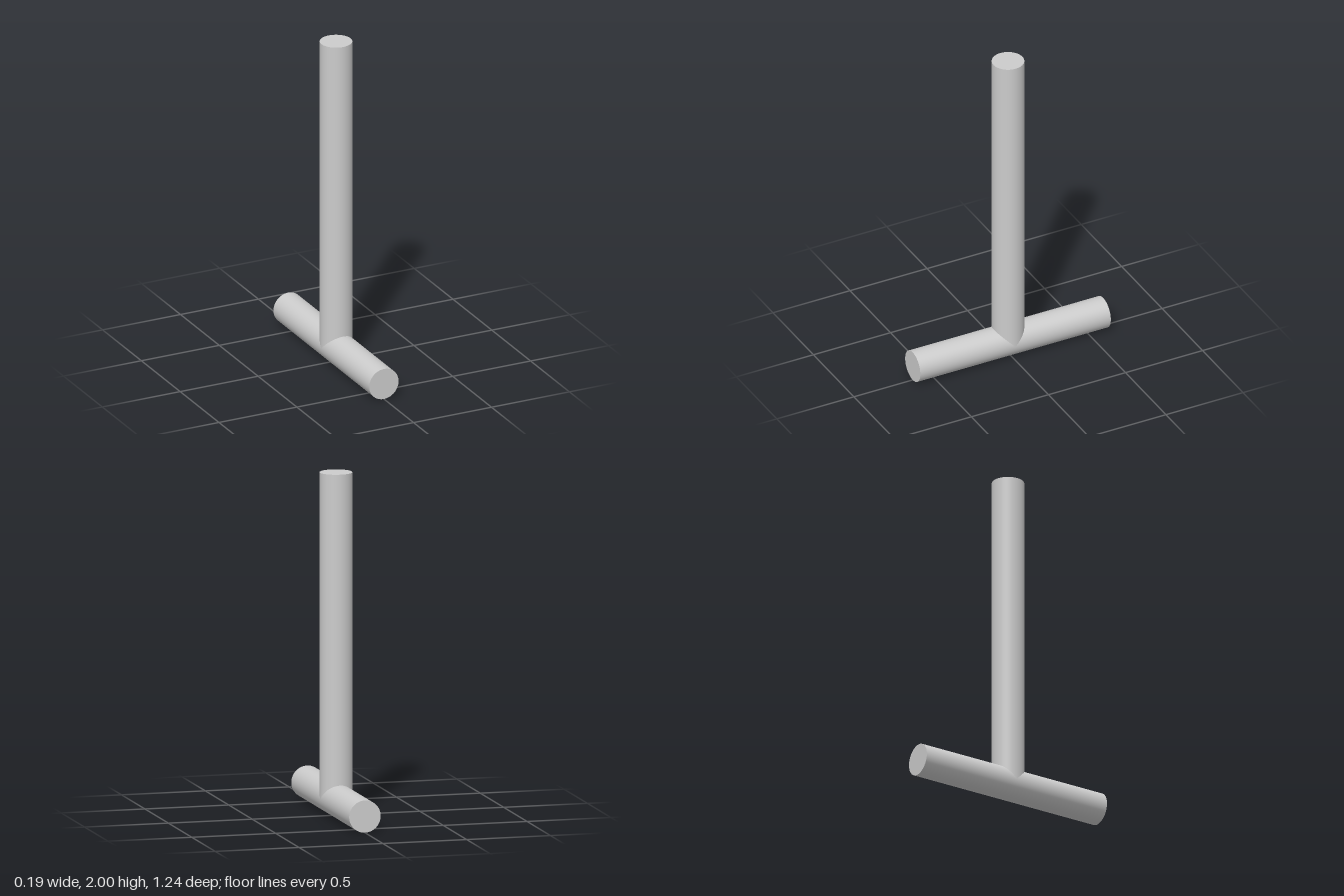
import * as THREE from 'three';

const RADIUS = 0.094;
const BAR_LENGTH = 1.236;
const HEIGHT = 2;

export function createModel() {
  const group = new THREE.Group();
  group.name = 'teeJoint';
  const material = new THREE.MeshStandardMaterial({ color: 0xcccccc });

  const addRod = (name, length) => {
    const rod = new THREE.Mesh(new THREE.CylinderGeometry(RADIUS, RADIUS, length, 64), material);
    rod.name = name;
    group.add(rod);
    return rod;
  };

  // Horizontal bar lying front to back on the ground
  const bar = addRod('baseBar', BAR_LENGTH);
  bar.rotation.x = Math.PI / 2;
  bar.position.y = RADIUS;

  // Upright rod, rising from the axis of the bar
  const stem = addRod('uprightRod', HEIGHT - RADIUS);
  stem.position.y = (HEIGHT + RADIUS) / 2;

  return group;
}
